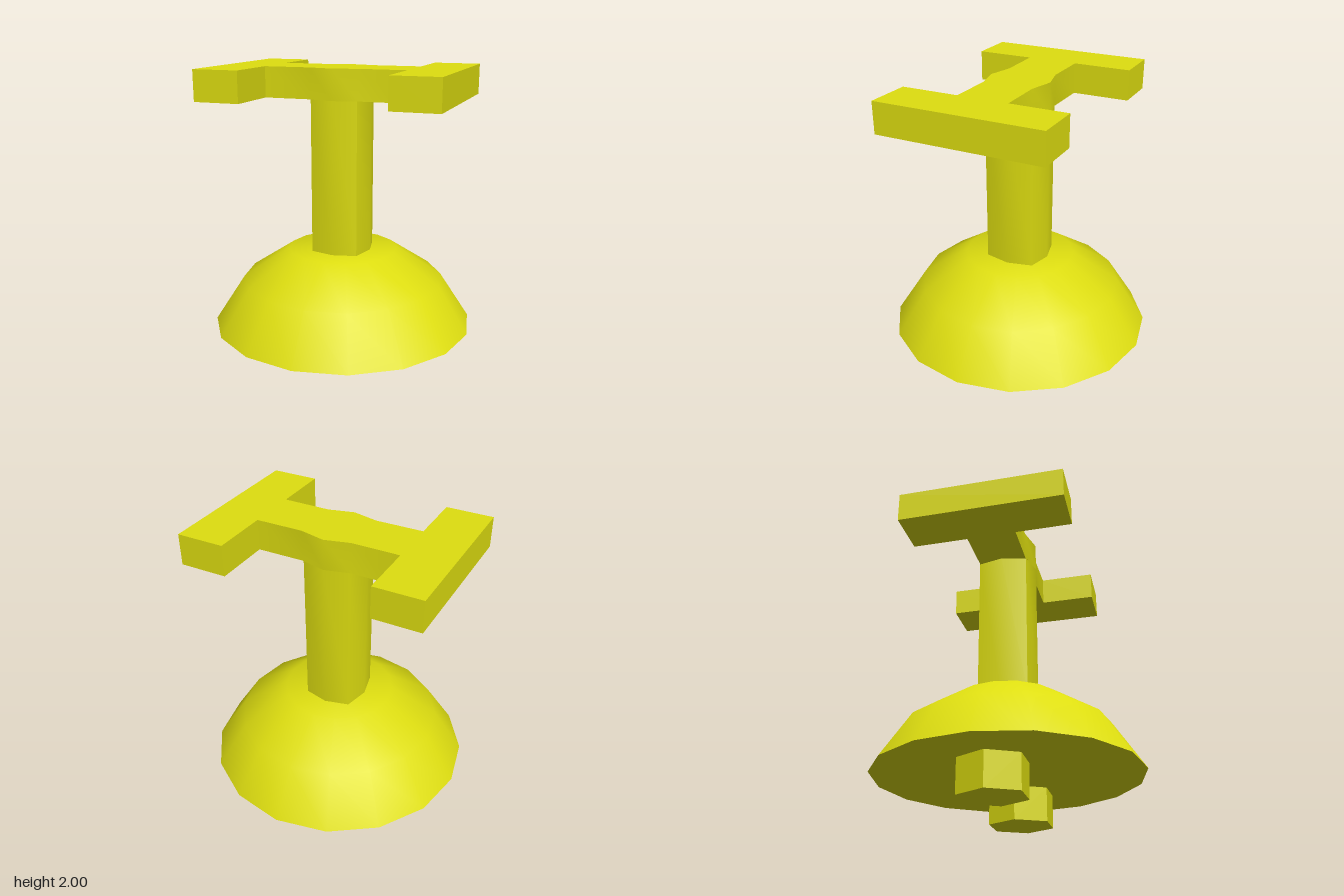
import * as THREE from 'three';
import { toCreasedNormals } from 'three/addons/utils/BufferGeometryUtils.js';

const CREASE = 0.6;

// Upright prism from an outline of [x, z] points
function prism(outline, y0, y1) {
  const shape = new THREE.Shape(outline.map(([x, z]) => new THREE.Vector2(x, -z)));
  const geo = new THREE.ExtrudeGeometry(shape, { depth: y1 - y0, bevelEnabled: false });
  geo.rotateX(-Math.PI / 2).translate(0, y0, 0);
  return toCreasedNormals(geo, CREASE);
}

// Mirror a quarter outline (from the +x side round to the z axis) into a closed loop
function mirrorQuarter(quarter) {
  const half = [...quarter, ...quarter.slice(0, -1).reverse().map(([x, z]) => [-x, z])];
  return [...half, ...half.slice().reverse().map(([x, z]) => [x, -z])]
    .filter(([x, z], i, all) => {
      const [px, pz] = all[(i + all.length - 1) % all.length];
      return Math.hypot(x - px, z - pz) > 1e-6;
    });
}

export function createModel() {
  const group = new THREE.Group();
  const yellow = new THREE.MeshStandardMaterial({ color: 0xdede10 });
  yellow.name = 'yellow';

  const add = (name, geo) => {
    const mesh = new THREE.Mesh(geo, yellow);
    mesh.name = name;
    group.add(mesh);
    return mesh;
  };

  // Sixteen-sided dome with a flat top and underside
  const profile = [[0, 0.23], [0.9, 0.23], [0.695, 0.545], [0.375, 0.757], [0, 0.757]];
  const dome = new THREE.LatheGeometry(profile.map(([r, y]) => new THREE.Vector2(r, y)), 16);
  add('dome', toCreasedNormals(dome, CREASE));

  // Eight-sided column
  add('column', prism(mirrorQuarter([[0.2, 0], [0.16, 0.17], [0, 0.21]]), 0.757, 1.795));

  // H-shaped top plate, swelling where the column meets it
  add('topPlate', prism(mirrorQuarter([
    [0.8, 0.555], [0.485, 0.555], [0.485, 0.17], [0.17, 0.168], [0, 0.21],
  ]), 1.795, 2));

  // Two hexagonal feet
  for (const side of [-1, 1]) {
    const foot = new THREE.CylinderGeometry(0.215, 0.215, 0.23, 6);
    foot.rotateY(Math.PI / 2).scale(1, 1, 0.2 / 0.186);
    const mesh = add(side > 0 ? 'leftFoot' : 'rightFoot', toCreasedNormals(foot, CREASE));
    mesh.position.set(0.385 * side, 0.115, 0);
  }
  return group;
}
